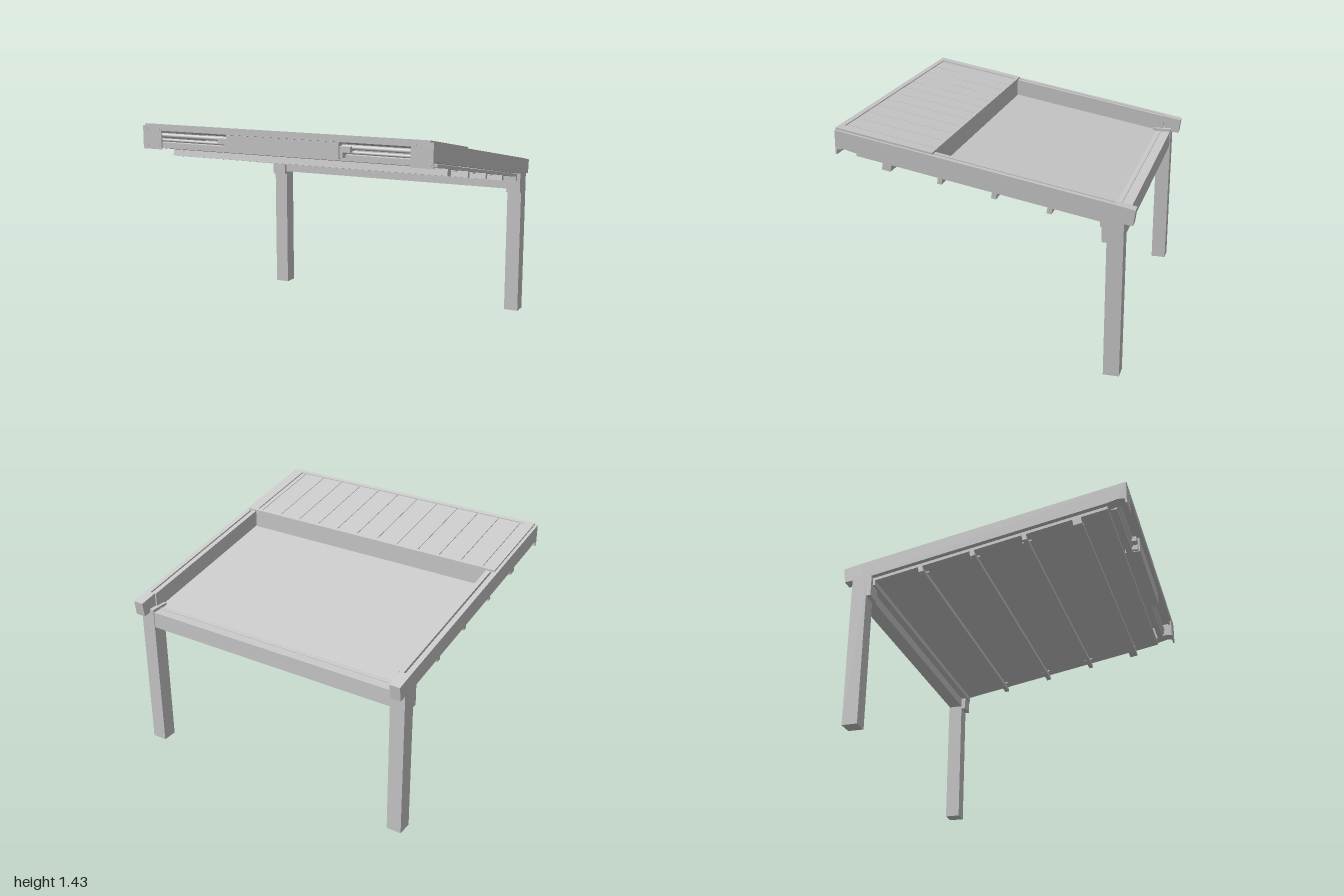
import * as THREE from 'three';

const material = new THREE.MeshStandardMaterial({ color: 0xcccccc, side: THREE.DoubleSide });

// height of the sloped roof line at depth z
const roofY = (z) => 1.254 + 0.18 * z;

export function createModel() {
  const root = new THREE.Group();

  function add(name, geometry) {
    const mesh = new THREE.Mesh(geometry, material);
    mesh.name = name;
    root.add(mesh);
    return mesh;
  }

  // upright block given by its limits
  function block(name, x0, x1, y0, y1, z0, z1) {
    const mesh = add(name, new THREE.BoxGeometry(x1 - x0, y1 - y0, z1 - z0));
    mesh.position.set((x0 + x1) / 2, (y0 + y1) / 2, (z0 + z1) / 2);
    return mesh;
  }

  // side profile of [z, y] points swept across x
  function prism(name, points, x0, x1) {
    const shape = new THREE.Shape(points.map(([z, y]) => new THREE.Vector2(-z, y)));
    const geometry = new THREE.ExtrudeGeometry(shape, { depth: x1 - x0, bevelEnabled: false });
    geometry.rotateY(Math.PI / 2);
    geometry.translate(x0, 0, 0);
    return add(name, geometry);
  }

  // slab following the roof slope, d0 to d1 above the roof line
  function slab(name, x0, x1, z0, z1, d0, d1) {
    return prism(name, [
      [z0, roofY(z0) + d0], [z1, roofY(z1) + d0],
      [z1, roofY(z1) + d1], [z0, roofY(z0) + d1],
    ], x0, x1);
  }

  // run a builder with limits mirrored to both sides
  function bothSides(build) {
    build('left', (a, b) => [a, b]);
    build('right', (a, b) => [-b, -a]);
  }

  // roof sheet with a thin rim at its back edge
  slab('roofSheet', -0.975, 0.975, -0.735, 0.8, -0.138, -0.118);
  slab('roofSheetBack', -0.92, 0.92, -0.79, -0.735, -0.132, -0.118);
  slab('roofRearTrim', -0.92, 0.92, -0.79, -0.78, -0.118, -0.108);

  // cross beams hanging square to the sheet: [z, width, drop]
  [[0.605, 0.055, 0.06], [0.267, 0.028, 0.055], [-0.072, 0.03, 0.055], [-0.412, 0.03, 0.055]]
    .forEach(([z, w, h]) => {
      const a = z - w / 2, b = z + w / 2, s = h * 0.18, top = -0.12;
      prism('crossBeam', [
        [a - s / 2, roofY(a) + top], [b - s / 2, roofY(b) + top],
        [b + s / 2, roofY(b) + top - h], [a + s / 2, roofY(a) + top - h],
      ], -0.975, 0.975);
    });

  // rear beam and ledge
  block('rearBeam', -0.9, 0.9, 0.89, 1.0, -0.855, -0.76);
  block('rearLedge', -0.975, 0.975, 0.955, 1.0, -0.76, -0.715);

  bothSides((side, m) => {
    // posts with front brackets
    block(side + 'Post', ...m(0.9, 1.0), 0, 1.02, -0.86, -0.76);
    block(side + 'PostBracket', ...m(0.9, 1.0), 0.87, 1.02, -0.76, -0.73);

    // side rail: low core with raised outer and inner walls leaving a slot
    const railShape = (drop, back) => [
      [0.92, 1.42 - drop], [back, roofY(back) - drop],
      [back, roofY(back) - 0.113], [0.8, 1.286], [0.87, 1.305], [0.92, 1.298],
    ];
    prism(side + 'RailCore', railShape(0.025, -0.8), ...m(0.945, 0.97));
    prism(side + 'RailOuterWall', railShape(0, -0.8), ...m(0.965, 1.0));
    prism(side + 'RailInnerWall', railShape(0, -0.8), ...m(0.92, 0.953));
    prism(side + 'RailTail', [
      [-0.8, 1.11], [-0.925, 1.085], [-0.912, 0.988], [-0.8, 1.002],
    ], ...m(0.93, 1.0));

    // cover edge strip
    slab(side + 'CoverEdge', ...m(0.91, 0.98), 0.31, 0.925, -0.012, 0.012);
    // end plate with raised slots
    block(side + 'EndPlate', ...m(0.86, 1.0), 1.27, 1.42, 0.915, 0.925);
    for (const x of [0.885, 0.975])
      for (const y of [1.29, 1.4])
        block(side + 'PlateFixing', ...m(x - 0.012, x + 0.012), y - 0.005, y + 0.005, 0.925, 0.928);

    // telescoping drive tube and its coupling
    const [a, b] = m(0.38, 0.92);
    for (const [r, y] of [[0.014, 1.352], [0.01, 1.322]]) {
      const tube = add(side + 'DriveTube', new THREE.CylinderGeometry(r, r, b - a, 20));
      tube.rotation.z = Math.PI / 2;
      tube.position.set((a + b) / 2, y, 0.85);
    }
    block(side + 'Coupling', ...m(0.39, 0.46), 1.325, 1.36, 0.83, 0.89);
    block(side + 'CouplingFoot', ...m(0.39, 0.41), 1.29, 1.33, 0.83, 0.89);
    block(side + 'LowerRail', ...m(0.39, 0.92), 1.285, 1.305, 0.81, 0.85);

    // clips at the beam ends
    for (const z of [0.605, 0.267, -0.072, -0.412])
      slab(side + 'BeamClip', ...m(0.885, 0.9), z - 0.03, z + 0.03, -0.148, -0.136);
  });

  // cover: border strips, inner wall and planks with fine seams
  slab('coverBackStrip', -0.91, 0.91, 0.31, 0.33, -0.012, 0.012);
  slab('coverFrontStrip', -0.91, 0.91, 0.895, 0.925, -0.03, 0.012);
  prism('coverBackWall', [
    [0.315, roofY(0.315)], [0.33, roofY(0.33)],
    [0.33, roofY(0.33) - 0.12], [0.315, roofY(0.315) - 0.12],
  ], -0.92, 0.92);
  const seams = [-0.91];
  for (let i = 0; i < 12; i++) seams.push(-0.885 + i * 0.16);
  seams.push(0.91);
  for (let i = 0; i < seams.length - 1; i++)
    slab('coverPlank', seams[i] + 0.002, seams[i + 1] - 0.002, 0.335, 0.895, -0.012, 0.006);
  slab('coverUnderlay', -0.91, 0.91, 0.33, 0.895, -0.02, -0.012);

  // motor housing in the middle of the front
  block('motorHousing', -0.39, 0.39, 1.285, 1.385, 0.8, 0.9);

  return root;
}
